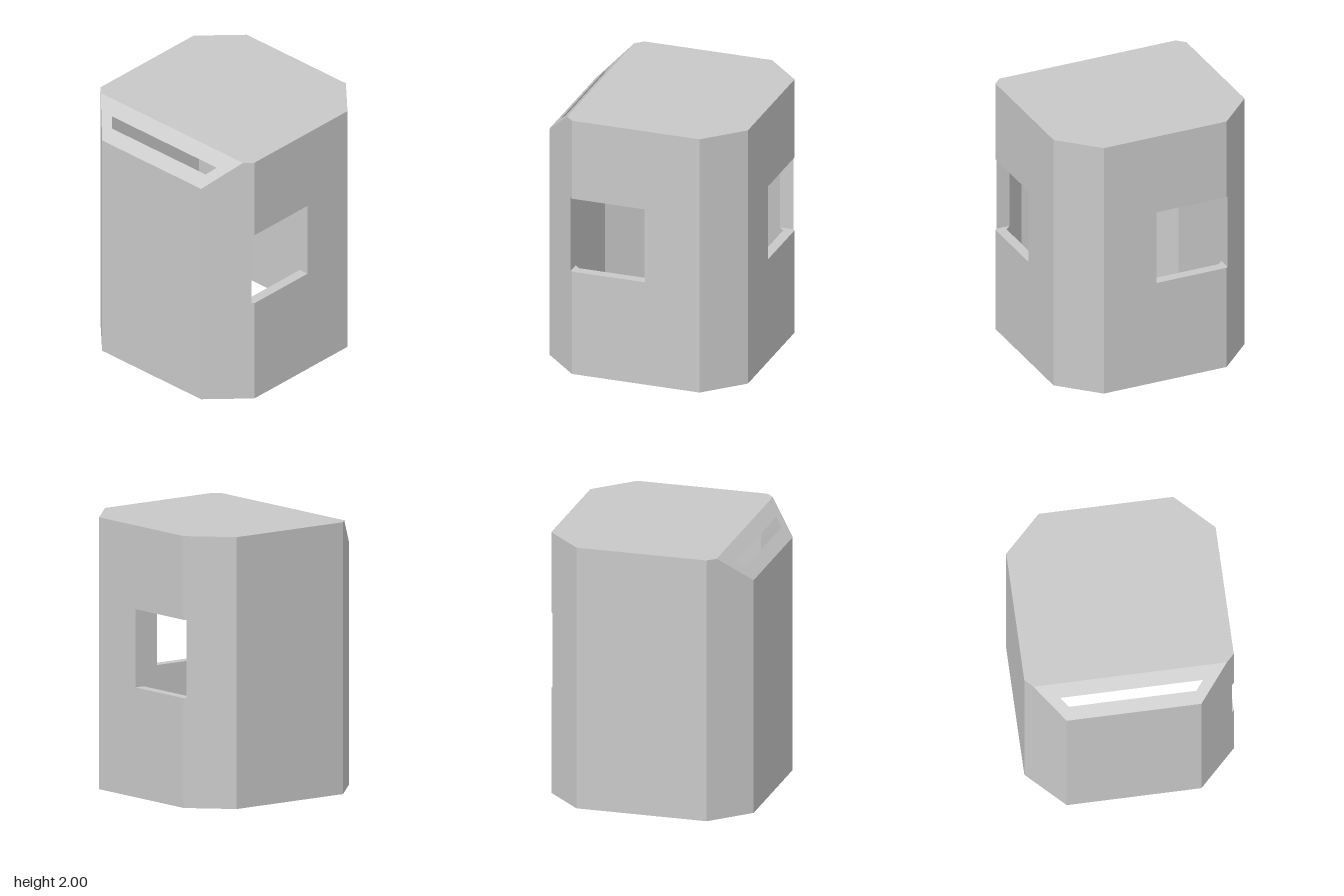
import * as THREE from 'three';

const EPS = 1e-6;
const plane = (x, y, z, d) => {
  const n = new THREE.Vector3(x, y, z), len = n.length();
  return new THREE.Plane(n.divideScalar(len), -d / len);
};

// Convex solids are lists of planes with outward normals.
const box = (x0, x1, y0, y1, z0, z1) => [
  plane(1, 0, 0, x1), plane(-1, 0, 0, -x0), plane(0, 1, 0, y1),
  plane(0, -1, 0, -y0), plane(0, 0, 1, z1), plane(0, 0, -1, -z0),
];

// Square prism with bevelled vertical corners.
function prism(half, corner, y0, y1) {
  const planes = box(-half, half, y0, y1, -half, half);
  for (const sx of [-1, 1]) for (const sz of [-1, 1]) planes.push(plane(sx, 0, sz, half + corner));
  return planes;
}

// Splits a convex polygon into its parts behind and in front of a plane.
function split(poly, pl) {
  const inside = [], outside = [];
  poly.forEach((a, i) => {
    const b = poly[(i + 1) % poly.length];
    const da = pl.distanceToPoint(a), db = pl.distanceToPoint(b);
    if (da <= EPS) inside.push(a);
    if (da >= -EPS) outside.push(a);
    if ((da < -EPS && db > EPS) || (da > EPS && db < -EPS)) {
      const p = a.clone().lerp(b, da / (da - db));
      inside.push(p);
      outside.push(p);
    }
  });
  const coplanar = poly.every((p) => Math.abs(pl.distanceToPoint(p)) <= EPS);
  return [inside.length > 2 ? inside : null, outside.length > 2 && !coplanar ? outside : null];
}

// Keeps only the part of each polygon within a solid.
const within = (polys, solid) => polys.map((p) => solid.reduce((q, pl) => q && split(q, pl)[0], p)).filter(Boolean);

// Removes the part of each polygon that lies within a solid.
function without(polys, solid) {
  return polys.flatMap((poly) => {
    if (!within([poly], solid).length) return [poly];
    const kept = [];
    let rest = poly;
    for (const pl of solid) {
      if (!rest) break;
      const [inside, outside] = split(rest, pl);
      if (outside) kept.push(outside);
      rest = inside;
    }
    return kept;
  });
}

// The outward-facing polygons of a solid.
function faces(solid) {
  return solid.flatMap((pl) => {
    const n = pl.normal;
    const u = new THREE.Vector3(n.y, n.z, n.x).cross(n).normalize();
    const v = n.clone().cross(u);
    const o = pl.coplanarPoint(new THREE.Vector3());
    const quad = [[-9, -9], [9, -9], [9, 9], [-9, 9]]
      .map(([a, b]) => o.clone().addScaledVector(u, a).addScaledVector(v, b));
    return within([quad], solid.filter((p) => p !== pl));
  });
}

const flip = (polys) => polys.map((p) => [...p].reverse());

function makeMesh(name, polys, material) {
  const pos = [];
  for (const p of polys) {
    for (let i = 1; i < p.length - 1; i++) for (const c of [p[0], p[i], p[i + 1]]) pos.push(c.x, c.y, c.z);
  }
  const geo = new THREE.BufferGeometry();
  geo.setAttribute('position', new THREE.Float32BufferAttribute(pos, 3));
  geo.computeVertexNormals();
  const mesh = new THREE.Mesh(geo, material);
  mesh.name = name;
  return mesh;
}

export function createModel() {
  const group = new THREE.Group();
  group.name = 'hollowHousing';
  const grey = new THREE.MeshStandardMaterial({ color: 0xc8c8c8 });
  grey.name = 'light grey';

  // Outer body; the sloping cut along one top edge breaks into the cavity as a slot
  const body = [...prism(0.765, 0.492, 0, 2), plane(-1, 1, 0, 2.55)];
  // Cavity, open at the bottom
  const cavity = prism(0.688, 0.465, -1, 1.918);
  // Square windows in the front and side walls
  const frontWindow = box(-0.506, 0.07, 0.808, 1.384, 0.3, 1);
  const sideWindow = box(0.3, 1, 0.808, 1.384, -0.506, 0.07);

  const cutWindows = (polys) => without(without(polys, frontWindow), sideWindow);
  const reveal = (w) => flip(without(within(faces(w), body), cavity));

  group.add(
    makeMesh('outerShell', cutWindows(without(faces(body), cavity)), grey),
    makeMesh('innerLining', cutWindows(flip(within(faces(cavity), body))), grey),
    makeMesh('frontWindowReveal', reveal(frontWindow), grey),
    makeMesh('sideWindowReveal', reveal(sideWindow), grey),
  );
  return group;
}
